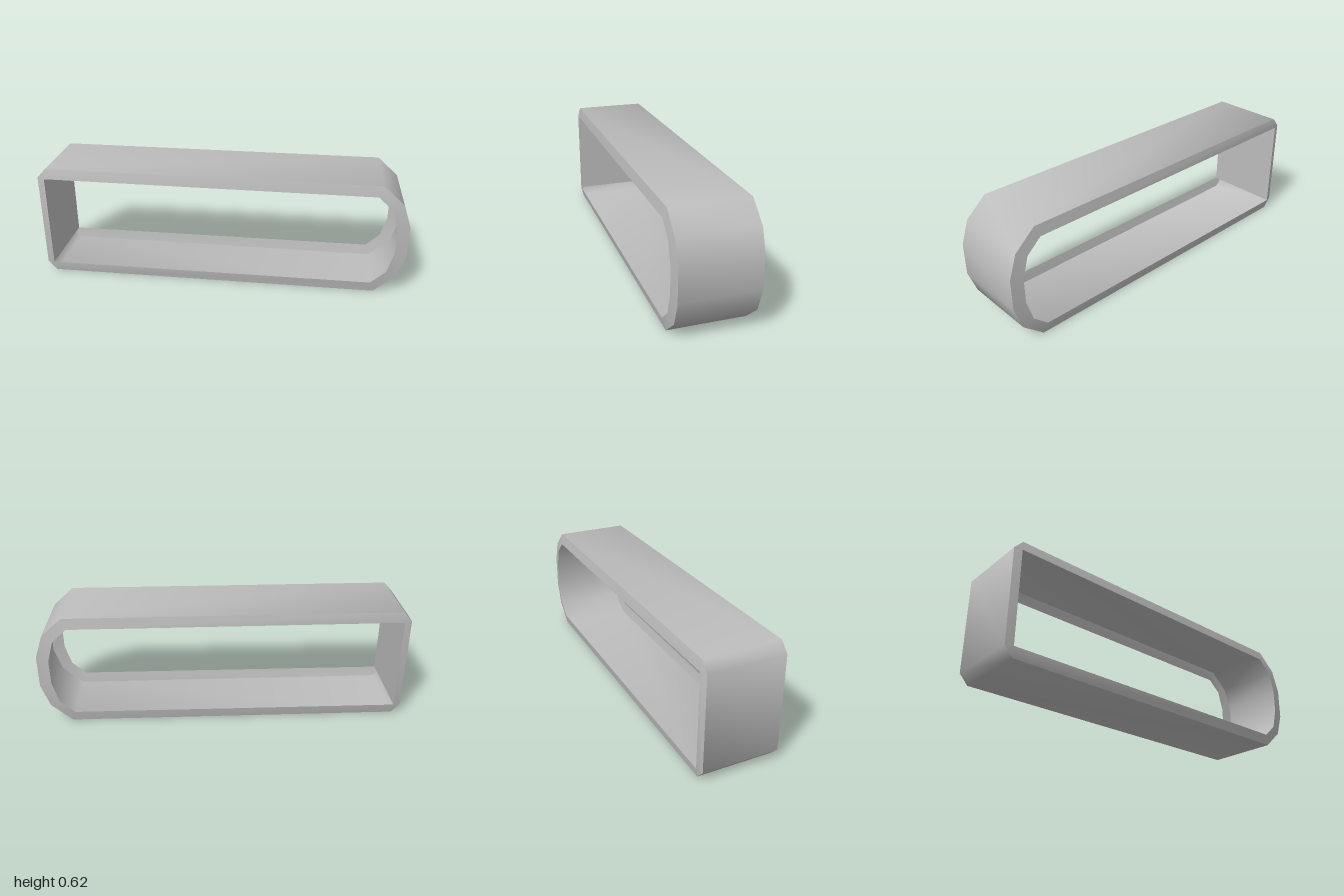
import * as THREE from 'three';
import { toCreasedNormals } from 'three/addons/utils/BufferGeometryUtils.js';

const MID = 0.312; // half height; the loop mirrors about this level

// Lower halves of the outer and inner outlines, left to right.
// The inner corner is repeated to meet the outer corner chamfer.
const OUTER = [[-1, 0.052], [-0.953, 0], [0.845, 0], [0.957, 0.1], [1, 0.226]];
const INNER = [[-0.96, 0.055], [-0.96, 0.055], [0.823, 0.058], [0.902, 0.13], [0.935, 0.245]];

// Full closed outline at depth z, counter-clockwise
function ring(half, z) {
  const upper = half.map(([x, y]) => [x, 2 * MID - y]).reverse();
  return [...half, ...upper].map(([x, y]) => new THREE.Vector3(x, y, z));
}

// Closed strip of quads between two matching rings
function strip(a, b) {
  const points = [];
  a.forEach((p, i) => {
    const j = (i + 1) % a.length;
    for (const t of [[p, a[j], b[j]], [p, b[j], b[i]]]) {
      if (new THREE.Triangle(...t).getArea() > 1e-8) points.push(...t);
    }
  });
  const geometry = new THREE.BufferGeometry().setFromPoints(points);
  return toCreasedNormals(geometry, 0.9);
}

export function createModel() {
  const group = new THREE.Group();
  group.name = 'strapLoop';
  const grey = new THREE.MeshStandardMaterial({ color: 0xbcbcbc, side: THREE.DoubleSide });
  grey.name = 'grey';

  const add = (name, geometry) => {
    const mesh = new THREE.Mesh(geometry, grey);
    mesh.name = name;
    group.add(mesh);
    return mesh;
  };

  const edge = 0.205, lip = 0.217;

  // Thin outer band with one rounded end
  add('outerBand', strip(ring(OUTER, -edge), ring(OUTER, edge)));

  // Bevelled rims turned inward on both sides
  add('frontRim', strip(ring(OUTER, edge), ring(INNER, lip)));
  add('backRim', strip(ring(INNER, -lip), ring(OUTER, -edge)));

  // Flat inner panel at the square end
  const panel = add('endPanel', new THREE.PlaneGeometry(2 * lip, 2 * (MID - 0.055)));
  panel.rotation.y = Math.PI / 2;
  panel.position.set(-0.96, MID, 0);

  return group;
}
